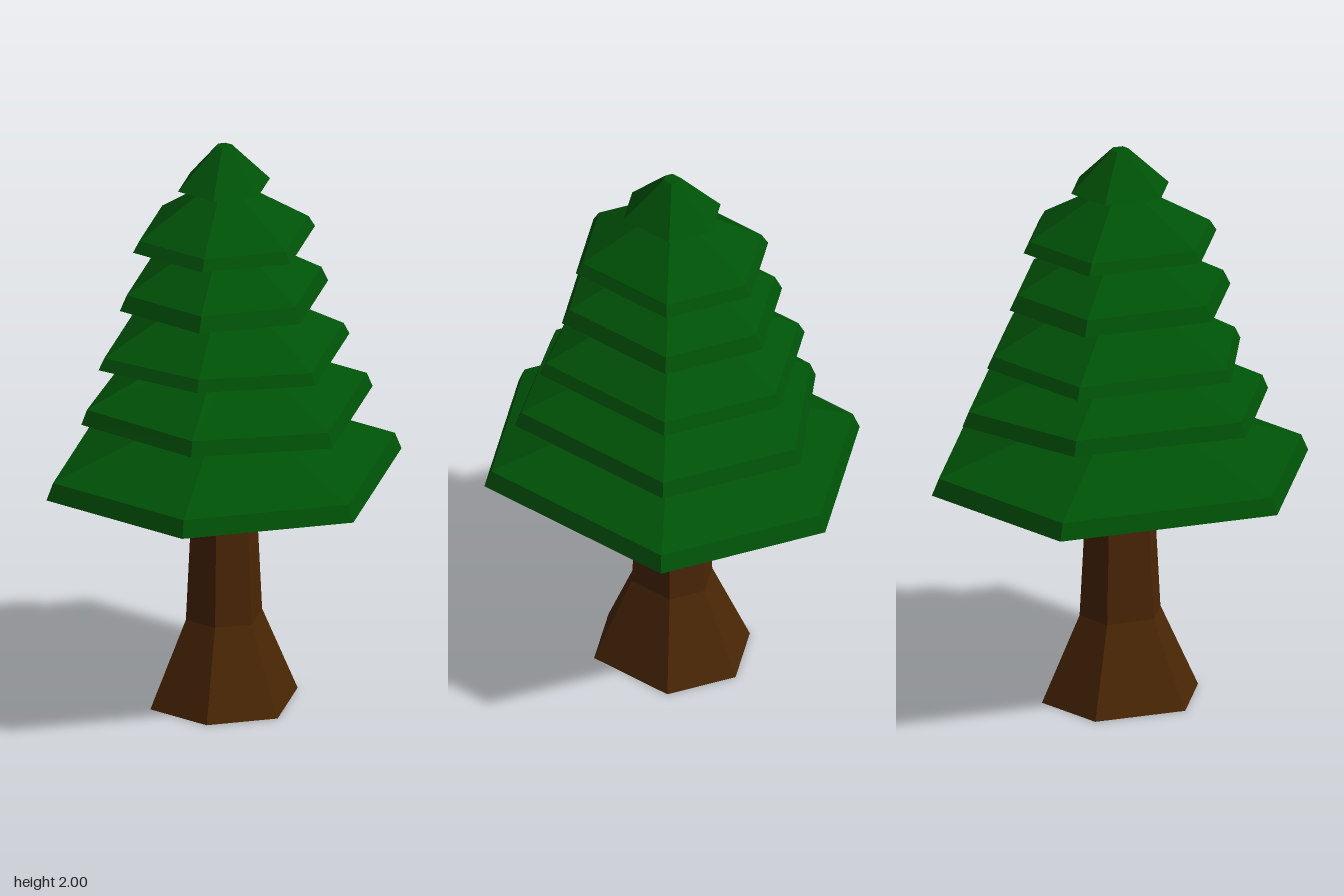
import * as THREE from 'three';

// Slightly narrowed hexagon (x, z), one corner pointing forward
const HEX = [[0, 1], [0.793, 0.576], [0.793, -0.576], [0, -1], [-0.793, -0.576], [-0.793, 0.576]];

// Closed faceted solid through hexagonal rings [y, radius], listed from bottom to top.
// recess raises the centre of the underside; scale and lift adjust single corners
// for an uneven, hand-made edge.
function hexLoft({ rings, recess = 0, scale = [], lift = [] }) {
  const pos = [];
  const points = rings.map(([y, r]) => HEX.map(([x, z], i) => {
    const s = r * (scale[i] ?? 1);
    return [x * s, y + (lift[i] ?? 0), z * s];
  }));
  const tri = (a, b, c) => pos.push(...a, ...b, ...c);
  const bottom = points[0], top = points[points.length - 1];
  const centre = (ring, raise) => [0, ring.reduce((sum, p) => sum + p[1], 0) / 6 + raise, 0];
  for (let i = 0; i < 6; i++) {
    const j = (i + 1) % 6;
    for (let k = 0; k < points.length - 1; k++) {
      const lo = points[k], hi = points[k + 1];
      tri(lo[i], lo[j], hi[j]);
      tri(lo[i], hi[j], hi[i]);
    }
    tri(centre(bottom, recess), bottom[j], bottom[i]);
    tri(centre(top, 0), top[i], top[j]);
  }
  const geometry = new THREE.BufferGeometry();
  geometry.setAttribute('position', new THREE.Float32BufferAttribute(pos, 3));
  geometry.computeVertexNormals();
  return geometry;
}

export function createModel() {
  const tree = new THREE.Group();
  tree.name = 'pineTree';
  const bark = new THREE.MeshStandardMaterial({ color: 0x4a2605, flatShading: true });
  const needles = new THREE.MeshStandardMaterial({ color: 0x005207, flatShading: true });

  const add = (name, shape, material) => {
    const mesh = new THREE.Mesh(hexLoft(shape), material);
    mesh.name = name;
    tree.add(mesh);
  };

  // Trunk with flared foot
  add('trunk', { rings: [[0, 0.28], [0.305, 0.145], [0.9, 0.113]] }, bark);

  // Branch tiers: hollowed underside, bevelled rim, neck reaching into the tier above
  const tiers = [
    { rings: [[0.811, 0.675], [0.87, 0.65], [1.085, 0.04]], recess: 0.075 },
    {
      rings: [[1.051, 0.565], [1.102, 0.543], [1.288, 0.08]],
      recess: 0.03,
      scale: [0.94, 1, 1, 1, 0.915, 0.96],
      lift: [0.005, 0, 0, 0, 0.012, 0.015],
    },
    { rings: [[1.254, 0.477], [1.295, 0.455], [1.49, 0.08]], recess: 0.03, scale: [0.905] },
    { rings: [[1.457, 0.396], [1.51, 0.37], [1.69, 0.04]], recess: 0.03 },
    { rings: [[1.661, 0.346], [1.7, 0.322], [1.888, 0.008]], recess: 0.03 },
    { rings: [[1.858, 0.175], [2, 0.03]], recess: 0.03 },
  ];
  tiers.forEach((tier, i) => add(`branchTier${i + 1}`, tier, needles));

  return tree;
}
